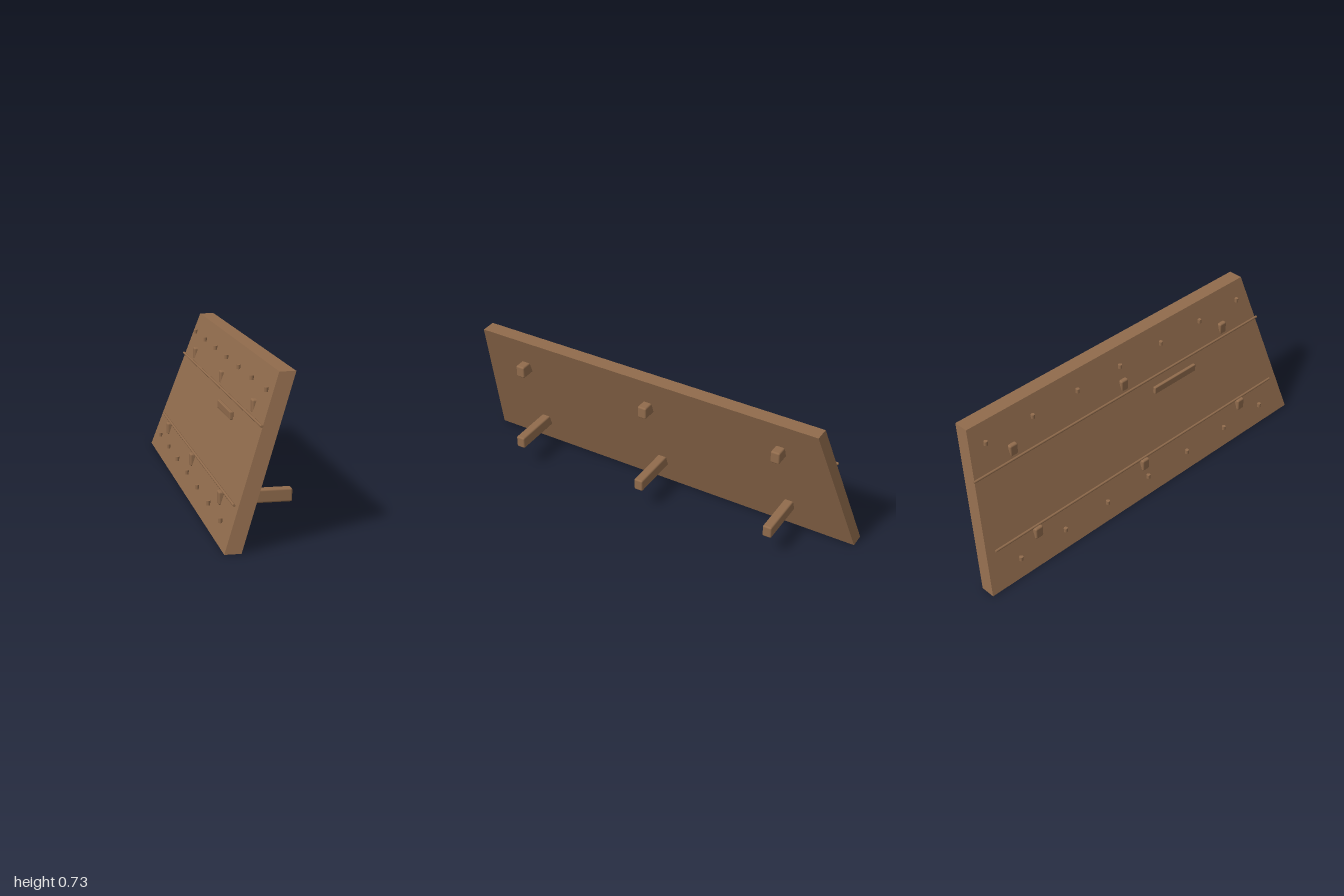
import * as THREE from 'three';
import { RoundedBoxGeometry } from 'three/addons/geometries/RoundedBoxGeometry.js';

const HEIGHT = 0.727;
const LEAN = 0.253; // sideways shift of the panel from foot to top

export function createModel() {
  const model = new THREE.Group();
  model.name = 'leaningPanel';
  const wood = new THREE.MeshStandardMaterial({ color: 0x906b4c });
  wood.name = 'brown wood';

  const add = (name, geometry, x, y, z) => {
    const mesh = new THREE.Mesh(geometry, wood);
    mesh.name = name;
    mesh.position.set(x, y, z);
    model.add(mesh);
    return mesh;
  };

  // Leaning board, shorter along its top edge
  const board = new THREE.BoxGeometry(0.072, HEIGHT, 2);
  board.translate(0, HEIGHT / 2, 0);
  const p = board.attributes.position;
  for (let i = 0; i < p.count; i++) {
    const t = p.getY(i) / HEIGHT;
    p.setX(i, p.getX(i) - 0.145 + LEAN * t);
    p.setZ(i, p.getZ(i) * (1 - 0.12 * t));
  }
  board.computeVertexNormals();
  add('board', board, 0, 0, 0);

  // Two rows of pegs passing through the board
  const lowerPeg = new RoundedBoxGeometry(0.325, 0.06, 0.045, 3, 0.008);
  const upperPeg = new RoundedBoxGeometry(0.143, 0.06, 0.045, 3, 0.008);
  for (const z of [-0.682, 0, 0.682]) {
    add('lowerPeg', lowerPeg, 0.0175, 0.152, z);
    add('upperPeg', upperPeg, 0.0715, 0.547, z);
  }

  // Thin rods running along the outer face
  const rod = new THREE.CylinderGeometry(0.006, 0.006, 1.845, 8);
  rod.rotateX(Math.PI / 2);
  add('lowerRod', rod, -0.124, 0.183, 0);
  add('upperRod', rod, -0.009, 0.51, 0);

  // Grip bar
  add('gripBar', new RoundedBoxGeometry(0.017, 0.037, 0.28, 2, 0.004), -0.0335, 0.452, 0.3);

  // Rows of small studs
  const stud = new THREE.CylinderGeometry(0.0095, 0.0095, 0.02, 12);
  for (let i = -3; i <= 3; i++) {
    add('lowerStud', stud, -0.159, 0.089, i * 0.27);
    add('upperStud', stud, 0.034, 0.641, i * 0.27);
  }

  return model;
}
